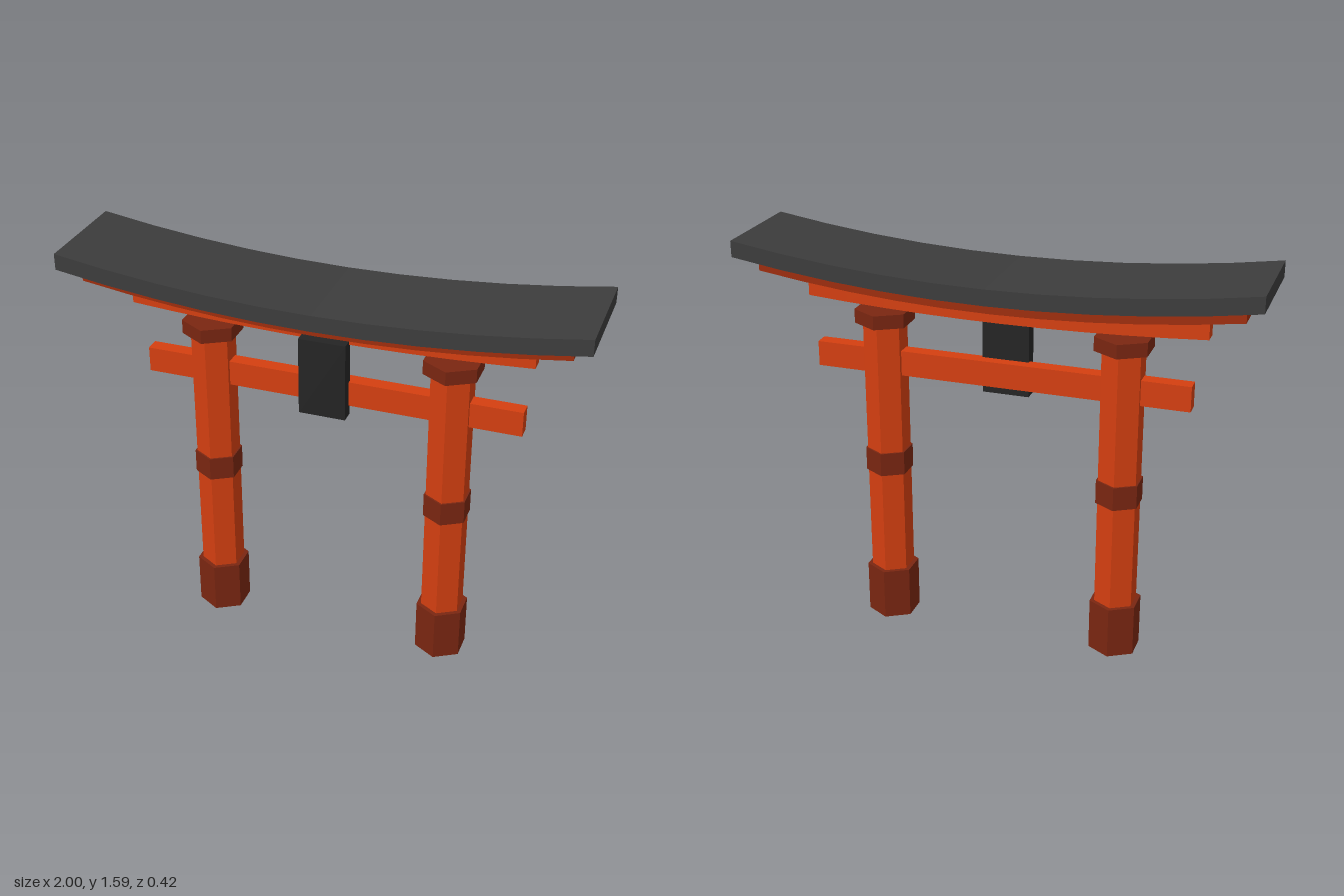
import * as THREE from 'three';

const paint = (color) => new THREE.MeshStandardMaterial({ color, flatShading: true });

export function createModel() {
  const model = new THREE.Group();
  const vermilion = paint(0xd43f10);
  const darkVermilion = paint(0x9e2d0c);
  const brown = paint(0x7a2611);
  const slate = paint(0x3c3c3c);
  const black = paint(0x242424);
  const grey = paint(0xcccccc);

  function add(parent, name, geometry, material, x = 0, y = 0, z = 0) {
    const mesh = new THREE.Mesh(geometry, material);
    mesh.name = name;
    mesh.position.set(x, y, z);
    parent.add(mesh);
  }

  // Box between two heights, its top and bottom bent upward along parabolas
  function curvedBeam(name, x0, x1, bottom, top, depth, bottomBend, topBend, material) {
    const geometry = new THREE.BoxGeometry(x1 - x0, 1, depth, 10, 1, 1);
    geometry.translate((x0 + x1) / 2, 0, 0);
    const p = geometry.attributes.position;
    for (let i = 0; i < p.count; i++) {
      const x2 = p.getX(i) ** 2;
      p.setY(i, p.getY(i) > 0 ? top + topBend * x2 : bottom + bottomBend * x2);
    }
    geometry.computeVertexNormals();
    add(model, name, geometry, material);
  }

  // Upper beams, each layer resting on the one below
  curvedBeam('roof', -1, 1, 1.442, 1.505, 0.42, 0.083, 0.083, slate);
  curvedBeam('eave', -0.93, 0.925, 1.388, 1.442, 0.28, 0.083, 0.083, darkVermilion);
  curvedBeam('lintel', -0.785, 0.777, 1.313, 1.388, 0.056, 0.047, 0.083, vermilion);

  // Hexagonal pillars: name, radius, bottom, top, material
  const pillarParts = [
    ['pillarBase', 0.104, 0, 0.21, [brown, brown, grey]],
    ['pillarShaft', 0.0855, 0.2, 1.27, vermilion],
    ['pillarBand', 0.093, 0.64, 0.735, brown],
    ['pillarCap', 0.116, 1.262, 1.317, brown],
  ];
  for (const [side, x] of [['right', -0.47], ['left', 0.475]]) {
    const pillar = new THREE.Group();
    pillar.name = side + 'Pillar';
    pillar.position.x = x;
    for (const [name, radius, bottom, top, material] of pillarParts) {
      const geometry = new THREE.CylinderGeometry(radius, radius, top - bottom, 6);
      add(pillar, name, geometry, material, 0, (bottom + top) / 2);
    }
    model.add(pillar);
  }

  // Straight tie beam through both pillars, with the plaque on its front
  add(model, 'tieBeam', new THREE.BoxGeometry(1.482, 0.1, 0.056), vermilion, 0.008, 1.105);
  add(model, 'plaque', new THREE.BoxGeometry(0.184, 0.313, 0.055), black, -0.008, 1.17, 0.042);

  return model;
}
